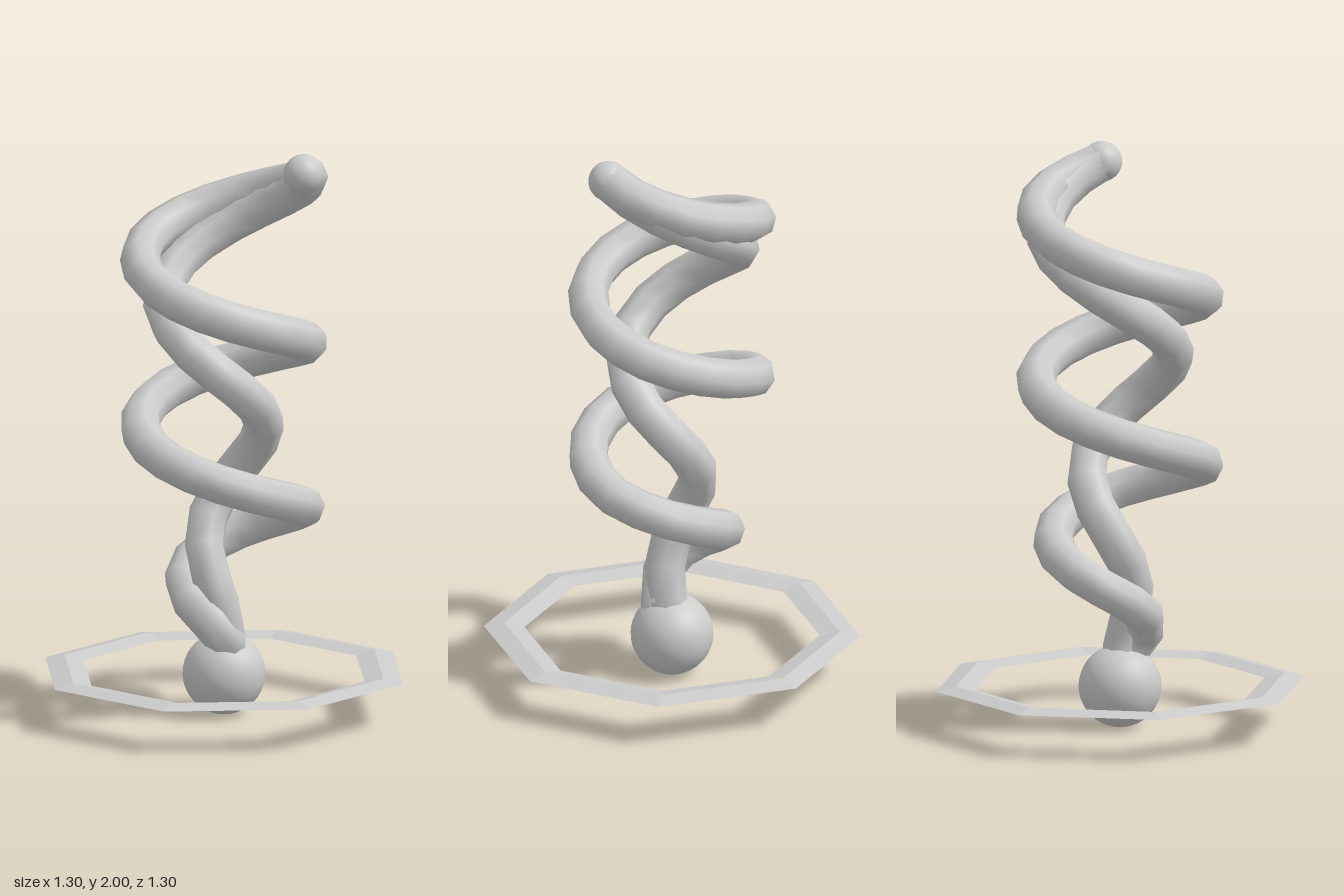
import * as THREE from 'three';

const BASE_Y = 0.17, TOP_Y = 1.93, RADIUS = 0.29, TUBE = 0.07;

// Rising spiral that starts on the axis and widens until t reaches flareEnd
class Spiral extends THREE.Curve {
  constructor(turns, flareEnd) {
    super();
    this.turns = turns;
    this.flareEnd = flareEnd;
  }
  getPoint(t, target = new THREE.Vector3()) {
    const a = t * this.turns * Math.PI * 2;
    const r = RADIUS * Math.min(1, t / this.flareEnd);
    return target.set(r * Math.cos(a), BASE_Y + (TOP_Y - BASE_Y) * t, r * Math.sin(a));
  }
}

export function createModel() {
  const group = new THREE.Group();
  const smooth = new THREE.MeshStandardMaterial({ color: 0xcccccc });
  const tubeMat = new THREE.MeshStandardMaterial({ color: 0xcccccc, side: THREE.DoubleSide });
  const flat = new THREE.MeshStandardMaterial({ color: 0xcccccc, flatShading: true });

  const add = (name, geometry, material, x = 0, y = 0, z = 0) => {
    const mesh = new THREE.Mesh(geometry, material);
    mesh.name = name;
    mesh.position.set(x, y, z);
    group.add(mesh);
  };

  // Balls at the foot and at the tip where both strands meet
  add('baseBall', new THREE.SphereGeometry(0.143, 32, 20), smooth, 0, 0.143, 0);
  add('tipBall', new THREE.SphereGeometry(TUBE, 24, 16), smooth, RADIUS, TOP_Y, 0);

  // Two intertwined strands
  add('outerStrand', new THREE.TubeGeometry(new Spiral(3, 1 / 3), 48, TUBE, 8), tubeMat);
  add('innerStrand', new THREE.TubeGeometry(new Spiral(2, 1), 24, TUBE, 8), tubeMat);

  // Thin eight-sided ring with a ridged top and flat underside
  const profile = [[0.51, 0.15], [0.65, 0.15], [0.58, 0.165], [0.51, 0.15]]
    .map(([r, y]) => new THREE.Vector2(r, y));
  add('octagonRing', new THREE.LatheGeometry(profile, 8), flat);

  return group;
}
